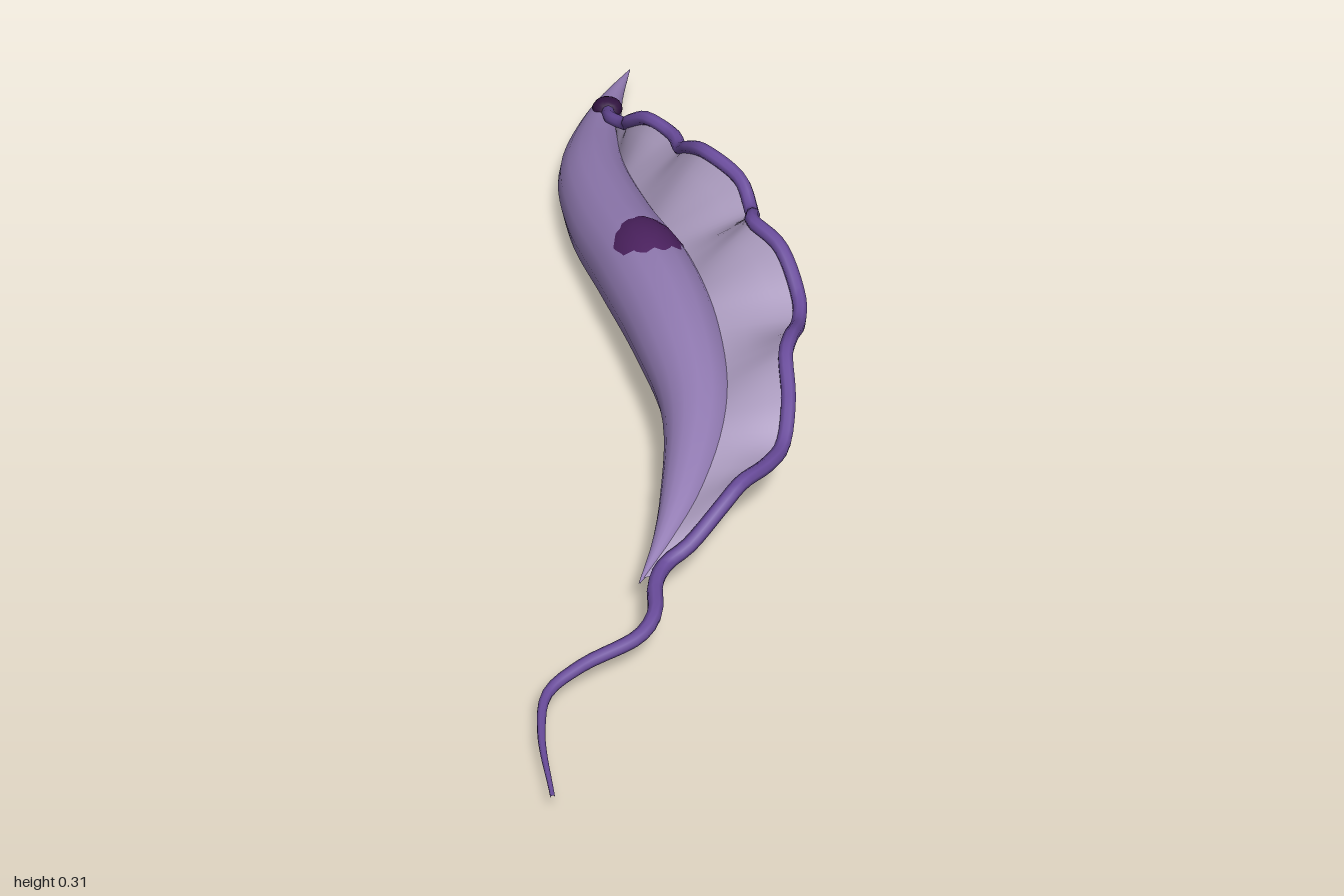
import * as THREE from 'three';

const paint = (name, color, extra = {}) => new THREE.MeshStandardMaterial({ name, color, ...extra });

// Body stations: z, then centre x, centre y, radius
const BODY = [
  [-1, -0.13, 0.06, 0.001], [-0.9, -0.16, 0.051, 0.022], [-0.8, -0.175, 0.05, 0.041],
  [-0.6, -0.172, 0.07, 0.069], [-0.4, -0.122, 0.094, 0.086], [-0.2, -0.047, 0.124, 0.093],
  [0, 0.017, 0.138, 0.083], [0.2, 0.057, 0.138, 0.061], [0.4, 0.04, 0.123, 0.037],
  [0.5, 0.012, 0.112, 0.017], [0.58, -0.02, 0.1, 0.001],
];

// Flagellum path: wavy crest of the membrane, then the free tail
const FLAGELLUM = [
  [-0.16, 0.09, -0.8], [-0.15, 0.115, -0.74], [-0.115, 0.14, -0.68], [-0.108, 0.18, -0.63],
  [-0.07, 0.22, -0.58], [-0.02, 0.218, -0.53], [-0.005, 0.222, -0.48], [0.015, 0.265, -0.42],
  [0.045, 0.29, -0.37], [0.11, 0.272, -0.31], [0.132, 0.245, -0.25], [0.135, 0.28, -0.19],
  [0.137, 0.297, -0.145], [0.185, 0.285, -0.09], [0.22, 0.225, -0.02], [0.22, 0.215, 0.03],
  [0.207, 0.25, 0.12], [0.2, 0.25, 0.166], [0.207, 0.21, 0.235], [0.2, 0.165, 0.3],
  [0.175, 0.17, 0.36], [0.135, 0.18, 0.42], [0.105, 0.163, 0.46], [0.055, 0.122, 0.51],
  [0.02, 0.108, 0.54], [0.006, 0.105, 0.585], [0.008, 0.1, 0.65], [-0.013, 0.09, 0.69],
  [-0.1, 0.078, 0.75], [-0.148, 0.066, 0.8], [-0.152, 0.056, 0.875], [-0.125, 0.045, 1],
];

const stations = new THREE.CubicInterpolant(
  new Float32Array(BODY.map((s) => s[0])),
  new Float32Array(BODY.flatMap((s) => s.slice(1))), 3);

// Point on the body's skin at a given z and angle
function skin(z, angle, scale = 1) {
  const [x, y, r] = stations.evaluate(THREE.MathUtils.clamp(z, -1, 0.58));
  const radius = Math.max(r, 0.001) * scale;
  return new THREE.Vector3(x + Math.cos(angle) * radius, y + Math.sin(angle) * radius, z);
}

// Joins rows of points into a smooth surface
function loft(rows, closed) {
  const n = rows[0].length, index = [];
  for (let i = 0; i < rows.length - 1; i++) {
    for (let j = 0; j < (closed ? n : n - 1); j++) {
      const k = (j + 1) % n;
      const a = i * n + j, b = i * n + k, c = a + n, d = b + n;
      index.push(a, b, d, a, d, c);
    }
  }
  const geometry = new THREE.BufferGeometry().setFromPoints(rows.flat());
  geometry.setIndex(index);
  geometry.computeVertexNormals();
  return geometry;
}

export function createModel() {
  const model = new THREE.Group();
  const add = (name, geometry, material) => {
    const mesh = new THREE.Mesh(geometry, material);
    mesh.name = name;
    model.add(mesh);
    return mesh;
  };

  const bodyPaint = paint('lavender body', 0x937cb4);
  const membranePaint = paint('pale membrane', 0xb0a0c4, { side: THREE.DoubleSide });
  const flagellumPaint = paint('violet flagellum', 0x6a4c9c);
  const nucleusPaint = paint('plum nucleus', 0x4c2260);
  const kinetoplastPaint = paint('dark kinetoplast', 0x30123f);

  // Spindle-shaped body
  const rings = [];
  for (let i = 0; i <= 48; i++) {
    const z = -1 + (1.58 * i) / 48;
    rings.push(Array.from({ length: 16 }, (_, j) => skin(z, (j / 16) * Math.PI * 2)));
  }
  add('body', loft(rings, true), bodyPaint);

  // Flagellum, tapering over the free tail
  const path = new THREE.CatmullRomCurve3(FLAGELLUM.map((p) => new THREE.Vector3(...p)));
  const segments = 120, sides = 8;
  const tube = new THREE.TubeGeometry(path, segments, 0.013, sides);
  const position = tube.attributes.position, v = new THREE.Vector3();
  for (let i = 0; i <= segments; i++) {
    const centre = path.getPointAt(i / segments);
    const scale = 1 - 0.75 * THREE.MathUtils.smoothstep(centre.z, 0.6, 1.05);
    for (let j = 0; j <= sides; j++) {
      const k = i * (sides + 1) + j;
      v.fromBufferAttribute(position, k).sub(centre).multiplyScalar(scale).add(centre);
      position.setXYZ(k, v.x, v.y, v.z);
    }
  }
  add('flagellum', tube, flagellumPaint);

  // Undulating membrane between body and flagellum
  const strips = path.getPoints(186).filter((p) => p.z < 0.575).map((edge) => {
    const root = skin(edge.z, 0.66, 0.96);
    return [0, 0.33, 0.67, 1].map((t) => root.clone().lerp(edge, t));
  });
  add('undulatingMembrane', loft(strips, false), membranePaint);

  // Nucleus, showing through above and below
  const nucleus = add('nucleus', new THREE.SphereGeometry(1, 16, 12), nucleusPaint);
  nucleus.scale.set(0.082, 0.099, 0.15);
  nucleus.rotation.set(-0.12, 0.33, 0, 'YXZ');
  nucleus.position.set(-0.052, 0.123, -0.213);

  // Kinetoplast at the root of the flagellum
  const kinetoplast = add('kinetoplast', new THREE.SphereGeometry(1, 10, 8), kinetoplastPaint);
  kinetoplast.scale.set(0.03, 0.022, 0.027);
  kinetoplast.position.set(-0.162, 0.088, -0.815);

  return model;
}
